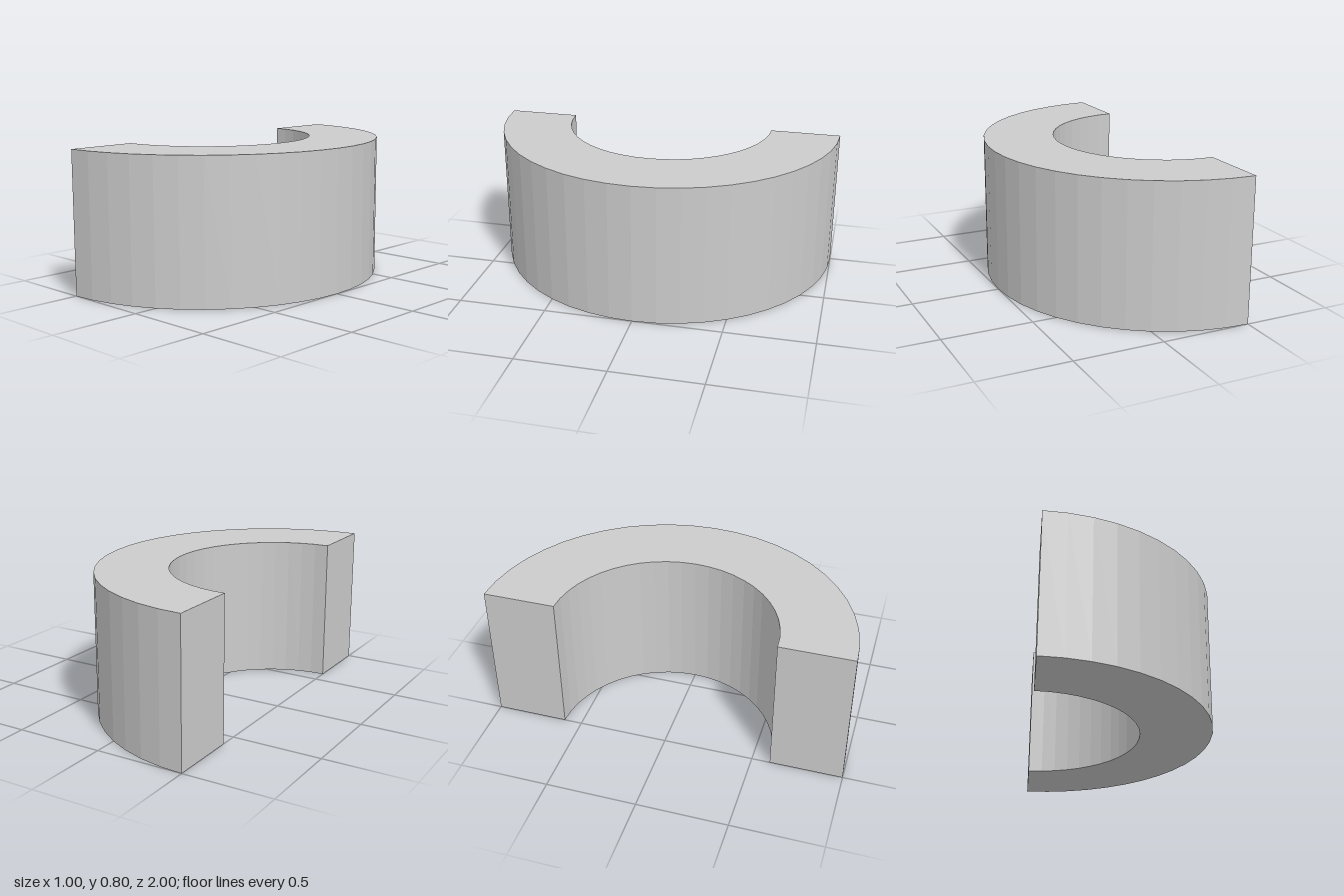
import * as THREE from 'three';

const OUTER = 1, INNER = 0.6, HEIGHT = 0.8, CENTRE_X = -0.5;

export function createModel() {
  const group = new THREE.Group();
  group.name = 'halfRing';

  // Half-ring outline: outer arc out, inner arc back
  const outline = new THREE.Shape();
  outline.absarc(CENTRE_X, 0, OUTER, -Math.PI / 2, Math.PI / 2, false);
  outline.absarc(CENTRE_X, 0, INNER, Math.PI / 2, -Math.PI / 2, true);
  outline.closePath();

  // Arcs get two divisions per curve segment: 24 flat facets each
  const geometry = new THREE.ExtrudeGeometry(outline, {
    depth: HEIGHT,
    bevelEnabled: false,
    curveSegments: 12,
  });
  geometry.rotateX(-Math.PI / 2); // stand it upright on y = 0

  const wall = new THREE.Mesh(
    geometry,
    new THREE.MeshStandardMaterial({ color: 0xcccccc, flatShading: true })
  );
  wall.name = 'curvedWall';
  group.add(wall);
  return group;
}
